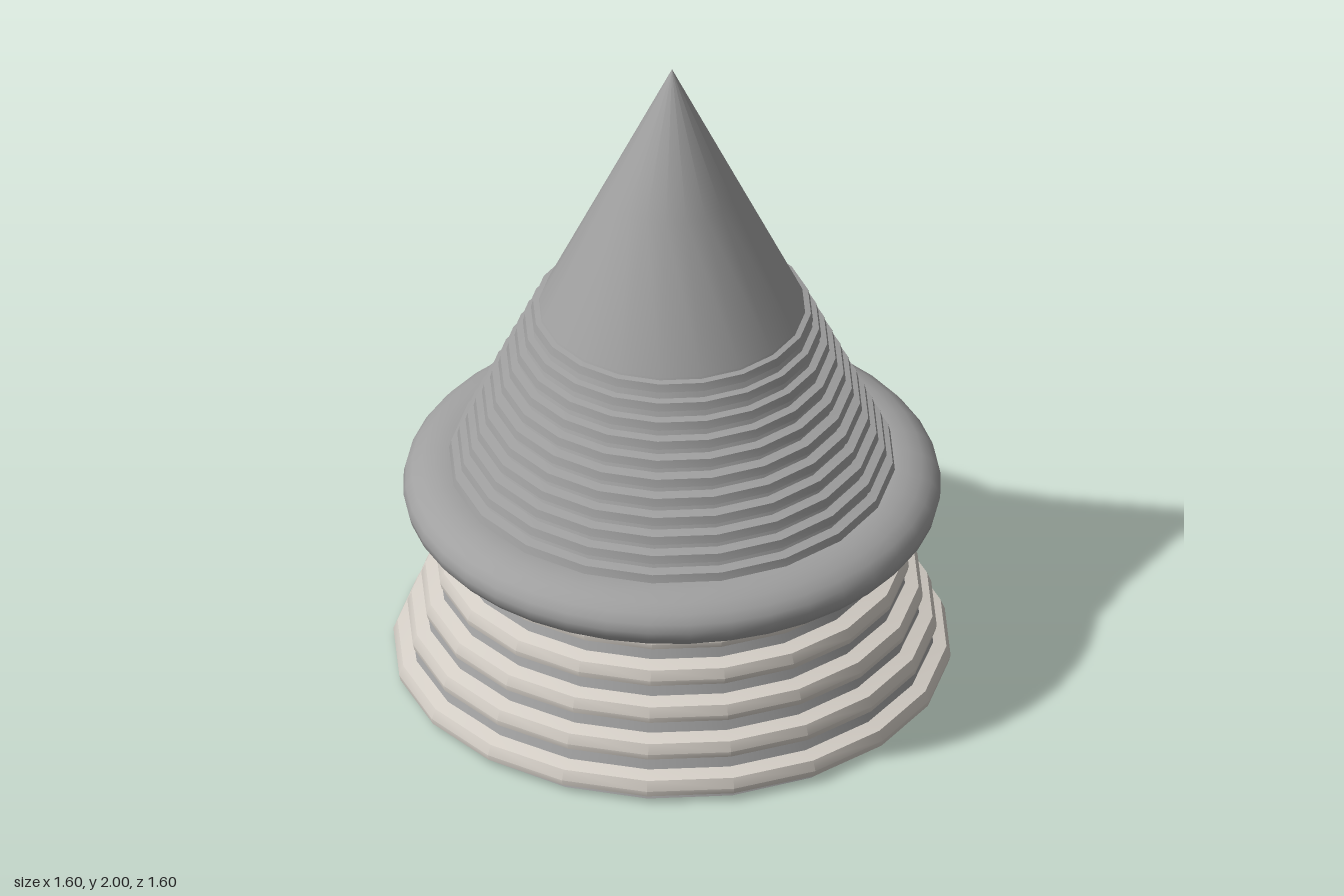
import * as THREE from 'three';
import { toCreasedNormals } from 'three/addons/utils/BufferGeometryUtils.js';

const SIDES = 20;

function material(name, color, side = THREE.FrontSide) {
  const m = new THREE.MeshStandardMaterial({ color, side });
  m.name = name;
  return m;
}

// Surface of revolution; profile runs from bottom to top as [radius, height]
function lathe(profile, sides = SIDES) {
  return new THREE.LatheGeometry(profile.map(([r, y]) => new THREE.Vector2(r, y)), sides);
}

export function createModel() {
  const model = new THREE.Group();
  const gray = material('gray', 0xa0a0a0, THREE.DoubleSide);
  const cream = material('cream', 0xd6d0c8, THREE.DoubleSide);

  const add = (name, geometry, mat, parent = model) => {
    const mesh = new THREE.Mesh(geometry, mat);
    mesh.name = name;
    parent.add(mesh);
    return mesh;
  };

  // Plain pointed tip
  add('tip', lathe([[0.38, 1.19], [0.19, 1.595], [0.0005, 2]]), gray);

  // Core under the fine ridges
  add('upperCore', lathe([[0.63, 0.6], [0.38, 1.19]]), gray);

  // Hollow skirt, open at the bottom
  add('skirtCore', lathe([[0.775, 0.005], [0.575, 0.5], [0.57, 0.58]]), gray);

  // Fine ridges on the upper cone
  const fineRidges = new THREE.Group();
  fineRidges.name = 'fineRidges';
  model.add(fineRidges);
  for (let i = 0; i < 11; i++) {
    const y = 0.665 + i * 0.05;
    const r = 0.64 - i * 0.0235;
    const ring = lathe([[r - 0.03, y - 0.012], [r, y - 0.008], [r - 0.006, y + 0.016], [r - 0.035, y + 0.022]]);
    add('fineRidge', toCreasedNormals(ring, 0.5), gray, fineRidges);
  }

  // Flattened round collar
  const collar = new THREE.TorusGeometry(0.64, 0.13, 20, 40);
  collar.rotateX(Math.PI / 2);
  collar.scale(1, 0.085 / 0.13, 1);
  collar.translate(0, 0.57, 0);
  add('collar', collar, gray);

  // Coarse, slightly slanted ridges around the skirt
  const coarseRidges = new THREE.Group();
  coarseRidges.name = 'coarseRidges';
  model.add(coarseRidges);
  for (let i = 0; i < 5; i++) {
    const y = 0.025 + i * 0.1;
    const r = 0.8 - i * 0.04;
    const ring = lathe([[r - 0.05, y - 0.025], [r - 0.004, y - 0.018], [r, y], [r - 0.012, y + 0.03], [r - 0.055, y + 0.042]]);
    const p = ring.attributes.position;
    for (let v = 0; v < p.count; v++) {
      const tilt = (-0.01 * p.getX(v) + 0.017 * p.getZ(v)) / r;
      p.setY(v, Math.max(0, p.getY(v) + tilt));
    }
    add('coarseRidge', toCreasedNormals(ring, 0.6), cream, coarseRidges);
  }

  return model;
}
